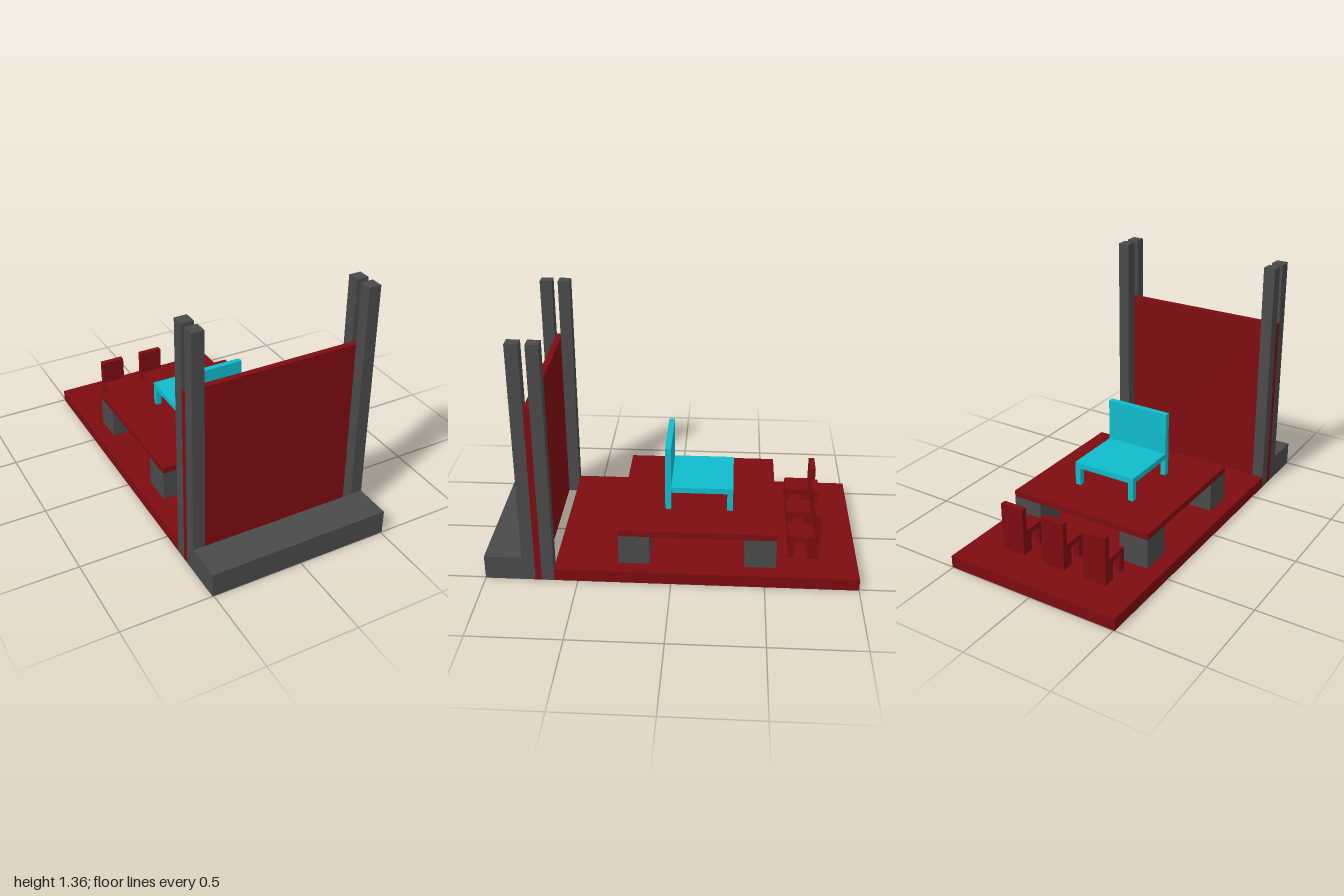
import * as THREE from 'three';

const red = new THREE.MeshStandardMaterial({ color: 0x7d0c10 });
const grey = new THREE.MeshStandardMaterial({ color: 0x4a4a4a });
const cyan = new THREE.MeshStandardMaterial({ color: 0x10bccc });

// Box given by its extents along each axis
function box(parent, name, material, [x0, x1], [y0, y1], [z0, z1]) {
  const mesh = new THREE.Mesh(new THREE.BoxGeometry(x1 - x0, y1 - y0, z1 - z0), material);
  mesh.position.set((x0 + x1) / 2, (y0 + y1) / 2, (z0 + z1) / 2);
  mesh.name = name;
  parent.add(mesh);
}

// Same box on the left and right side
function pair(parent, name, material, [x0, x1], y, z) {
  box(parent, name + 'Left', material, [x0, x1], y, z);
  box(parent, name + 'Right', material, [-x1, -x0], y, z);
}

function group(parent, name) {
  const g = new THREE.Group();
  g.name = name;
  parent.add(g);
  return g;
}

export function createModel() {
  const model = new THREE.Group();
  model.name = 'stageSet';

  // Floor and front step
  box(model, 'floor', red, [-0.507, 0.507], [0, 0.068], [-1, 0.628]);
  box(model, 'frontStep', grey, [-0.507, 0.507], [0, 0.136], [0.797, 1]);

  // Sliding panel held between paired posts
  const gate = group(model, 'gate');
  box(gate, 'panel', red, [-0.507, 0.507], [0, 1.02], [0.695, 0.729]);
  pair(gate, 'frontPost', grey, [0.441, 0.507], [0, 1.36], [0.729, 0.797]);
  pair(gate, 'backPost', grey, [0.441, 0.507], [0, 1.36], [0.628, 0.695]);

  // Platform on four blocks
  const platform = group(model, 'platform');
  box(platform, 'platformTop', red, [-0.422, 0.422], [0.238, 0.272], [-0.56, 0.288]);
  pair(platform, 'frontBlock', grey, [0.253, 0.422], [0.068, 0.238], [0.12, 0.288]);
  pair(platform, 'backBlock', grey, [0.253, 0.422], [0.068, 0.238], [-0.56, -0.39]);

  // Large chair, facing the back
  const chair = group(model, 'largeChair');
  box(chair, 'seat', cyan, [-0.185, 0.185], [0.376, 0.408], [-0.322, 0.05]);
  box(chair, 'backrest', cyan, [-0.185, 0.185], [0.408, 0.645], [0.018, 0.05]);
  pair(chair, 'frontLeg', cyan, [0.153, 0.185], [0.272, 0.376], [-0.322, -0.29]);
  pair(chair, 'rearLeg', cyan, [0.153, 0.185], [0.272, 0.376], [0.018, 0.05]);

  // Row of three small chairs, facing the front
  for (const x of [-0.255, 0, 0.255]) {
    const small = group(model, 'smallChair');
    small.position.x = x;
    box(small, 'seat', red, [-0.068, 0.068], [0.17, 0.203], [-0.764, -0.628]);
    box(small, 'backrest', red, [-0.068, 0.068], [0.068, 0.34], [-0.797, -0.764]);
    pair(small, 'frontLeg', red, [0.034, 0.068], [0.068, 0.17], [-0.661, -0.628]);
    pair(small, 'rearLeg', red, [0.034, 0.068], [0.068, 0.17], [-0.764, -0.73]);
  }
  return model;
}
